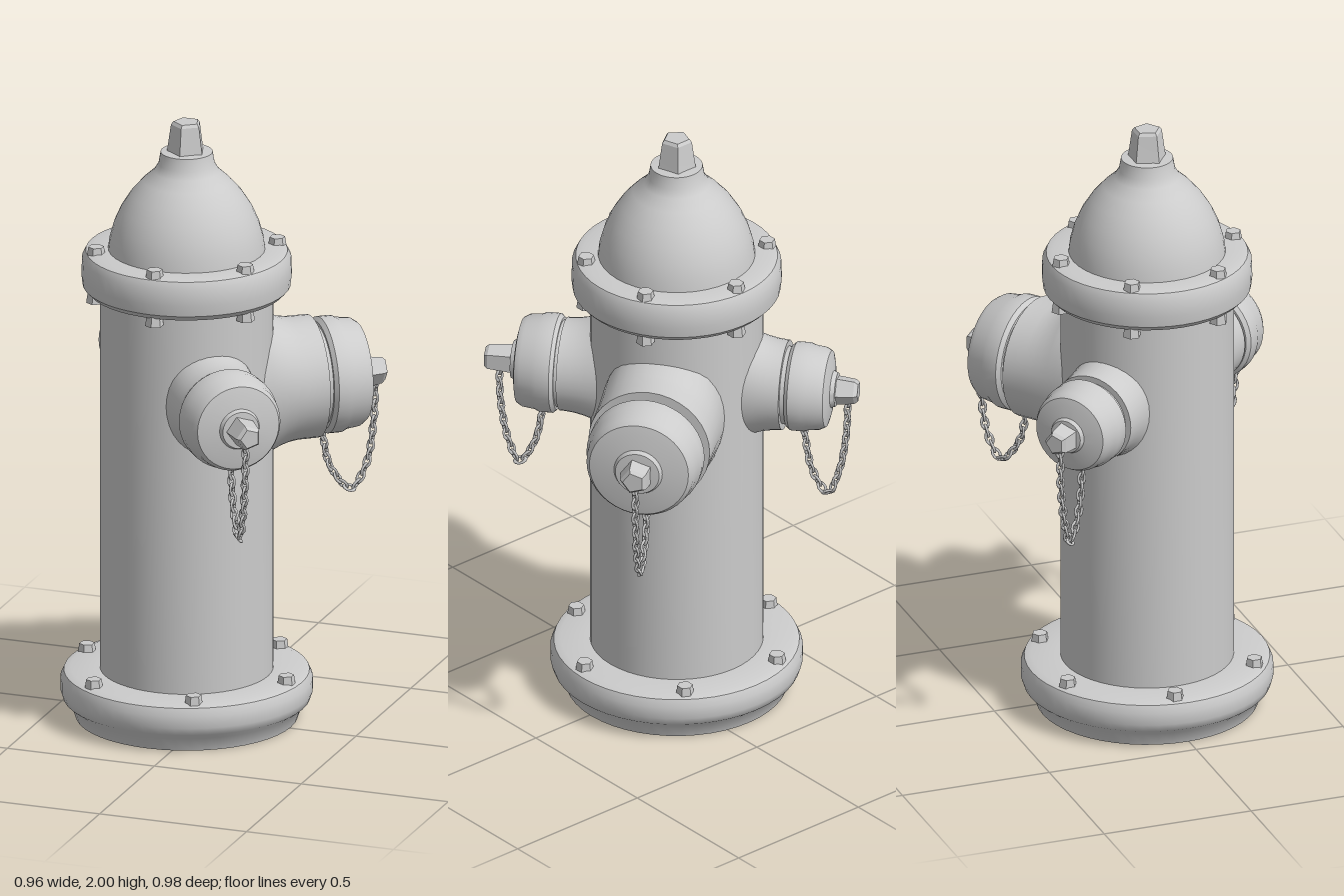
import * as THREE from 'three';
import { toCreasedNormals } from 'three/addons/utils/BufferGeometryUtils.js';

const material = new THREE.MeshStandardMaterial({ color: 0xcccccc });
const rad = THREE.MathUtils.degToRad;

function part(name, geometry, parent) {
  const mesh = new THREE.Mesh(geometry, material);
  mesh.name = name;
  parent.add(mesh);
  return mesh;
}

// Turned solid from [radius, height] pairs, listed bottom to top
function turned(points, sides = 40, crease = 0.6) {
  const lathe = new THREE.LatheGeometry(points.map(([r, y]) => new THREE.Vector2(r, y)), sides);
  return toCreasedNormals(lathe, crease);
}

// Ring of small hexagonal bolts
function boltRing(name, parent, radius, y, height, phase) {
  const ring = new THREE.Group();
  ring.name = name;
  const geometry = toCreasedNormals(new THREE.CylinderGeometry(0.025, 0.03, height, 6), 0.5);
  for (let i = 0; i < 6; i++) {
    const a = rad(phase + i * 60);
    part('bolt', geometry, ring).position.set(radius * Math.cos(a), y, radius * Math.sin(a));
  }
  parent.add(ring);
}

// Chain of alternating oval links hung below an outlet
function chain(parent, inner, outer, start, bottom) {
  const group = new THREE.Group();
  group.name = 'chain';
  const mid = inner + (outer - inner) * 0.55;
  const curve = new THREE.CatmullRomCurve3([
    [outer, -0.04], [outer - 0.005, -0.16], [outer - 0.03, bottom * 0.8], [mid, bottom],
    [inner + 0.03, bottom * 0.8], [inner, start],
  ].map(([x, y]) => new THREE.Vector3(x, y, 0)));
  const links = [0, 1].map((turn) => new THREE.TorusGeometry(0.011, 0.0045, 6, 10)
    .scale(1.6, 1, 1).rotateX(Math.PI / 4 + turn * Math.PI / 2));
  const count = Math.round(curve.getLength() / 0.027);
  for (let i = 0; i <= count; i++) {
    const link = part('chainLink', links[i % 2], group);
    const tangent = curve.getTangentAt(i / count);
    link.position.copy(curve.getPointAt(i / count));
    link.rotation.z = Math.atan2(tangent.y, tangent.x);
  }
  parent.add(group);
}

// Side outlet along its own +x: pipe, cap, nut and chain
function outlet(name, parent, o) {
  const group = new THREE.Group();
  group.name = name;
  const along = (geometry) => geometry.rotateZ(-Math.PI / 2);

  // Pipe widens above and below where it meets the barrel
  const steps = [0.1, 0.2, 0.23, 0.26, 0.29, 0.32, 0.35].map((x) => [o.pipe, x]);
  const pipe = along(new THREE.LatheGeometry(
    [...steps, [o.pipe, o.neck], [0, o.neck]].map(([r, x]) => new THREE.Vector2(r, x)), 36));
  const p = pipe.attributes.position;
  for (let i = 0; i < p.count; i++) {
    const t = Math.min(1, Math.max(0, (0.36 - p.getX(i)) / 0.13));
    p.setY(i, p.getY(i) * (1 + 0.27 * t * t));
  }
  part('pipe', toCreasedNormals(pipe, 0.6), group);

  const { cap: r, from: a, to: b } = o;
  part('neck', along(turned([[r * 0.88, o.neck - 0.03], [r * 0.88, a + 0.02]])), group);
  part('cap', along(turned([
    [0, a], [r * 0.93, a], [r, a + 0.012], [r, a + 0.055], [r * 0.96, a + 0.07],
    [r * 0.93, b - 0.025], [r * 0.86, b - 0.006], [r * 0.7, b], [r * 0.42, b + 0.006],
    [r * 0.38, b + 0.02], [0, b + 0.025],
  ])), group);
  const n = o.nut;
  part('capNut', along(turned([
    [n * 1.1, b], [n * 1.05, b + 0.03], [n * 0.92, o.tip - 0.012], [n * 0.7, o.tip], [0, o.tip],
  ], 5, 0.3)), group);

  chain(group, o.chainInner, (b + o.tip) / 2 + 0.01, -r * 0.93, o.drop);
  group.position.y = o.y;
  group.rotation.y = rad(o.angle);
  parent.add(group);
}

export function createModel() {
  const model = new THREE.Group();
  model.name = 'hydrant';
  const body = new THREE.Group();
  body.name = 'body';
  body.position.set(-0.08, 0, -0.01);
  model.add(body);

  part('baseFlange', turned([
    [0, 0], [0.355, 0], [0.37, 0.045], [0.395, 0.065], [0.403, 0.09], [0.403, 0.13],
    [0.392, 0.155], [0.37, 0.163], [0.27, 0.163],
  ], 48), body);
  part('barrel', turned([[0.277, 0.15], [0.277, 1.45]], 48), body);
  part('topFlange', turned([
    [0.27, 1.435], [0.315, 1.437], [0.332, 1.455], [0.336, 1.49], [0.334, 1.545],
    [0.322, 1.568], [0.3, 1.574], [0.24, 1.574],
  ], 48), body);
  part('dome', turned([
    [0.252, 1.565], [0.246, 1.61], [0.232, 1.66], [0.21, 1.71], [0.178, 1.76],
    [0.14, 1.803], [0.105, 1.835], [0.09, 1.86], [0.083, 1.9], [0, 1.905],
  ], 40, 0.7), body);
  part('topNut', turned([
    [0.064, 1.895], [0.06, 1.92], [0.05, 1.99], [0.042, 2], [0, 2],
  ], 5, 0.3), body);

  boltRing('baseBolts', body, 0.355, 0.17, 0.035, 6);
  boltRing('flangeTopBolts', body, 0.293, 1.58, 0.03, 30);
  boltRing('flangeLowerBolts', body, 0.295, 1.425, 0.035, 30);

  // Two hose outlets on one line, and the larger pumper outlet
  outlet('frontOutlet', body, {
    angle: -50.5, y: 1.13, pipe: 0.15, neck: 0.365, cap: 0.16, from: 0.375, to: 0.51,
    nut: 0.046, tip: 0.62, chainInner: 0.43, drop: -0.37,
  });
  outlet('backOutlet', body, {
    angle: 129.5, y: 1.125, pipe: 0.145, neck: 0.355, cap: 0.143, from: 0.37, to: 0.5,
    nut: 0.046, tip: 0.59, chainInner: 0.41, drop: -0.38,
  });
  outlet('pumperOutlet', body, {
    angle: 37.6, y: 1.1, pipe: 0.198, neck: 0.42, cap: 0.188, from: 0.44, to: 0.58,
    nut: 0.05, tip: 0.66, chainInner: 0.45, drop: -0.39,
  });
  return model;
}
